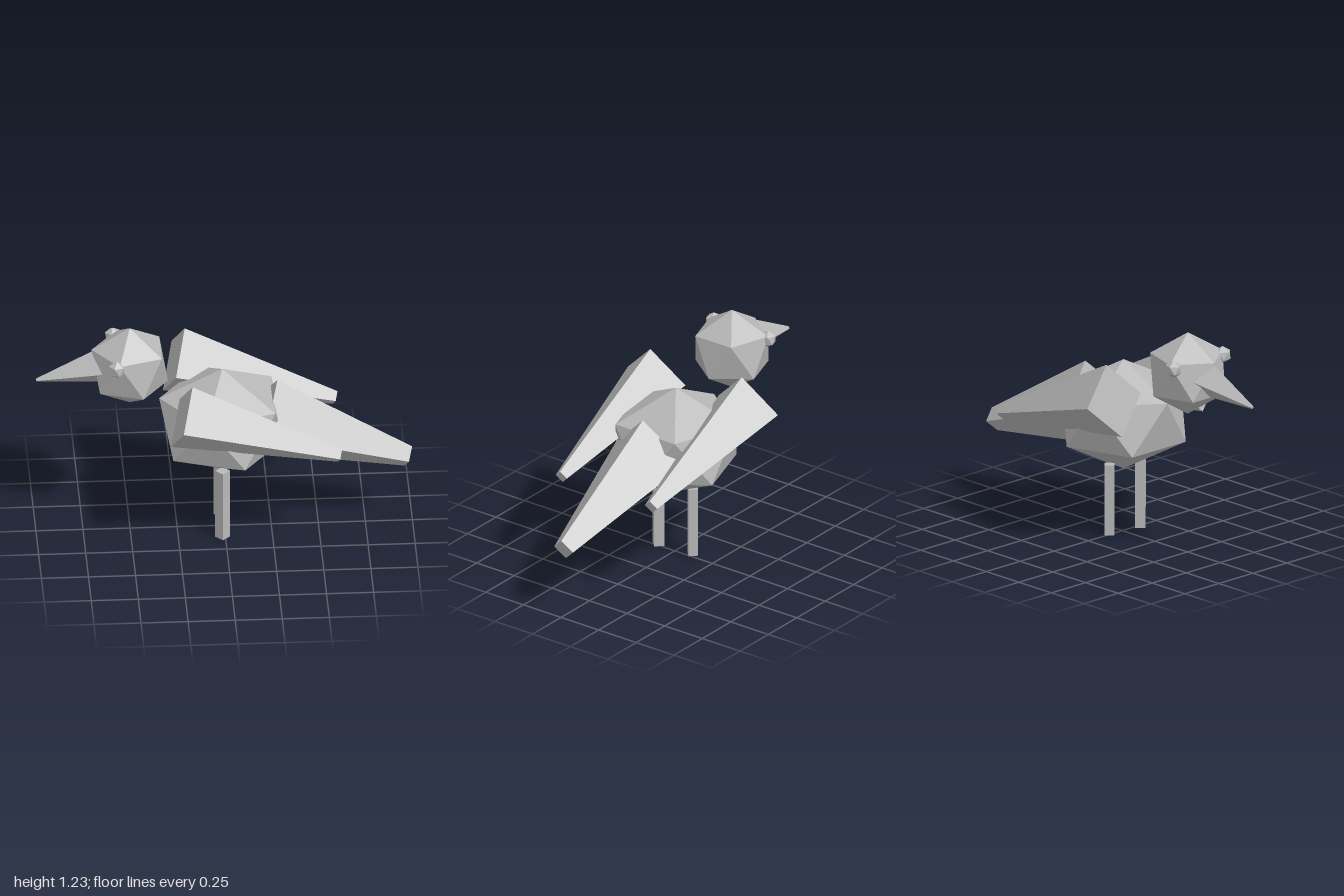
import * as THREE from 'three';

const UP = new THREE.Vector3(0, 1, 0);

export function createModel() {
  const bird = new THREE.Group();
  bird.name = 'bird';
  const grey = new THREE.MeshStandardMaterial({ color: 0xb8b8b8 });
  grey.name = 'grey';

  function add(name, geometry) {
    const mesh = new THREE.Mesh(geometry, grey);
    mesh.name = name;
    bird.add(mesh);
  }

  // Icosahedron standing on a point, with one upper-ring corner facing -x
  function gem(name, x, y, z, r, ry = r) {
    const g = new THREE.IcosahedronGeometry(1, 0);
    g.rotateZ(Math.atan(2 / (1 + Math.sqrt(5))));
    g.scale(r, ry, r);
    g.translate(x, y, z);
    g.computeVertexNormals();
    add(name, g);
  }

  // Tapered diamond-section bar between two points
  function taper(name, from, to, rFrom, rTo) {
    const a = new THREE.Vector3(...from);
    const b = new THREE.Vector3(...to);
    const dir = b.clone().sub(a);
    const g = new THREE.CylinderGeometry(rTo, rFrom, dir.length(), 4).toNonIndexed();
    g.applyQuaternion(new THREE.Quaternion().setFromUnitVectors(UP, dir.normalize()));
    const mid = a.add(b).multiplyScalar(0.5);
    g.translate(mid.x, mid.y, mid.z);
    g.computeVertexNormals();
    add(name, g);
  }

  // Body, head and beak
  gem('body', -0.01, 0.655, 0, 0.375, 0.305);
  gem('head', -0.502, 1, 0, 0.227);
  taper('beak', [-0.61, 1.015, 0], [-0.998, 0.925, 0], 0.115, 0.01);

  // Tail
  taper('tail', [0.206, 0.665, 0], [0.978, 0.392, 0], 0.23, 0.062);

  // Paired parts
  for (const [side, s] of [['left', -1], ['right', 1]]) {
    const far = s < 0;
    gem(side + 'Eye', -0.58, 1.08, s * 0.18, 0.048);
    taper(side + 'Wing',
      far ? [-0.25, 0.852, -0.3] : [-0.243, 0.849, 0.303],
      far ? [0.608, 0.588, -0.302] : [0.597, 0.582, 0.303],
      far ? 0.197 : 0.19, far ? 0.04 : 0.037);
  }

  // Legs
  taper('rightLeg', [-0.015, 0.405, 0.12], [-0.015, 0, 0.118], 0.04, 0.04);
  taper('leftLeg', [-0.015, 0.4, -0.108], [-0.015, 0.008, -0.108], 0.036, 0.036);

  return bird;
}
